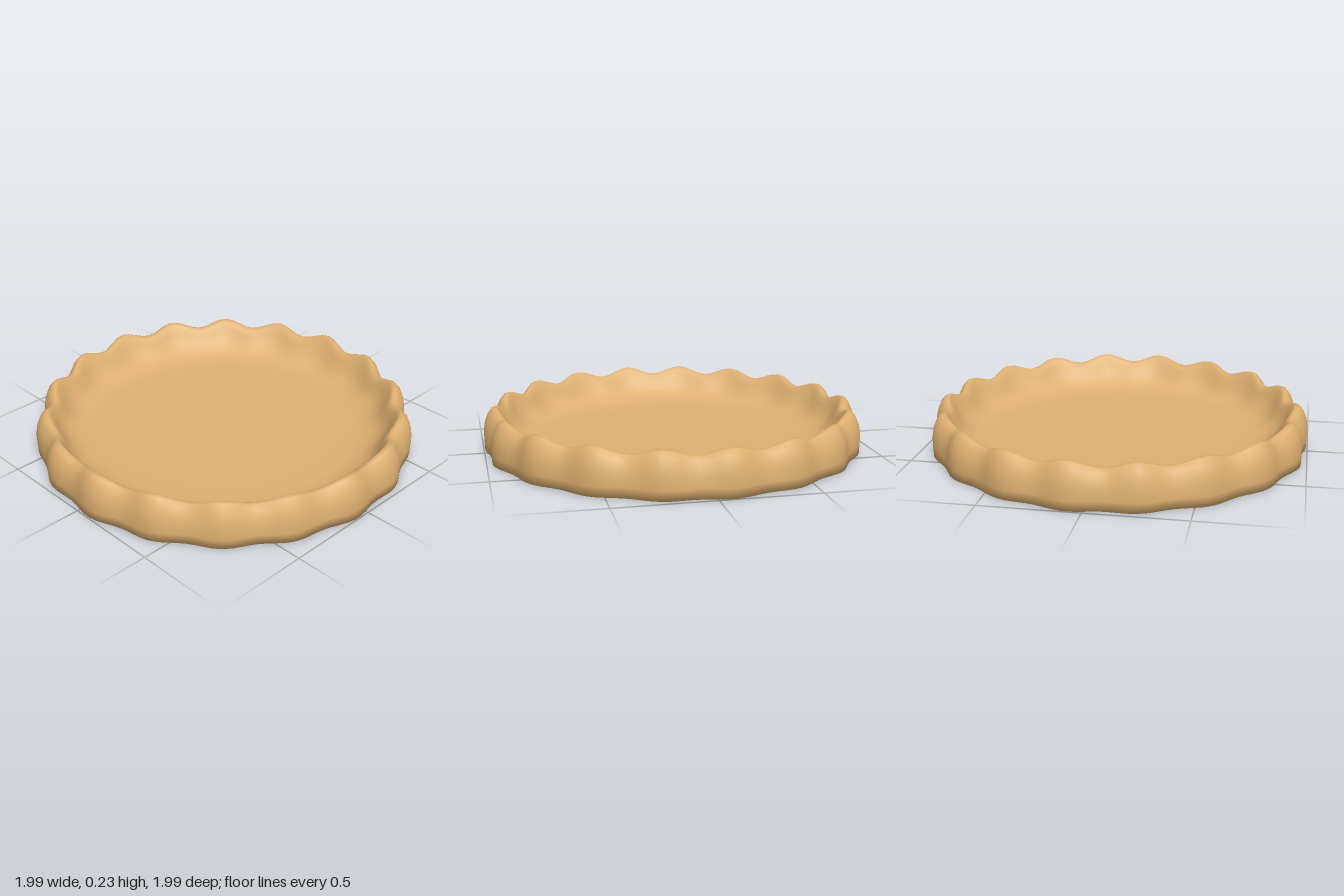
import * as THREE from 'three';
import { mergeVertices } from 'three/addons/utils/BufferGeometryUtils.js';

const FLUTES = 18;

// Cross-section from the centre of the base, up the outside, over the rim, to the centre of the floor.
// Each row: radius, height, radial wave, height wave
const PROFILE = [
  [0, 0, 0, 0],
  [0.86, 0, 0, 0],
  [0.985, 0, 0.012, 0],
  [0.986, 0.05, 0.013, 0],
  [0.984, 0.1, 0.016, 0.002],
  [0.974, 0.145, 0.018, 0.008],
  [0.955, 0.185, 0.018, 0.014],
  [0.935, 0.206, 0.017, 0.018],
  [0.917, 0.21, 0.016, 0.02],
  [0.9, 0.197, 0.016, 0.018],
  [0.88, 0.165, 0.014, 0.012],
  [0.855, 0.12, 0.011, 0.005],
  [0.82, 0.082, 0.007, 0],
  [0.77, 0.058, 0.003, 0],
  [0.7, 0.047, 0, 0],
  [0.55, 0.044, 0, 0],
  [0, 0.044, 0, 0],
];

function createCrustGeometry() {
  const points = PROFILE.map(([r, y]) => new THREE.Vector2(r, y));
  const lathe = new THREE.LatheGeometry(points, FLUTES * 8);
  const pos = lathe.attributes.position;

  // Crimp the wall and rim into evenly spaced flutes
  for (let i = 0; i < pos.count; i++) {
    const [r, y, radialWave, heightWave] = PROFILE[i % PROFILE.length];
    const angle = Math.atan2(pos.getZ(i), pos.getX(i));
    const wave = Math.cos(FLUTES * (angle - THREE.MathUtils.degToRad(15)));
    const radius = r + radialWave * wave;
    pos.setXYZ(i, radius * Math.cos(angle), y + heightWave * wave, radius * Math.sin(angle));
  }

  // Weld the seam so the shading stays smooth all the way round
  lathe.deleteAttribute('uv');
  lathe.deleteAttribute('normal');
  const welded = mergeVertices(lathe, 1e-5);
  welded.computeVertexNormals();
  return welded;
}

export function createModel() {
  const pastry = new THREE.MeshStandardMaterial({ color: 0xdeaf70 });
  pastry.name = 'bakedPastry';

  const crust = new THREE.Mesh(createCrustGeometry(), pastry);
  crust.name = 'pieCrust';

  const model = new THREE.Group();
  model.name = 'pieShell';
  model.add(crust);
  return model;
}
